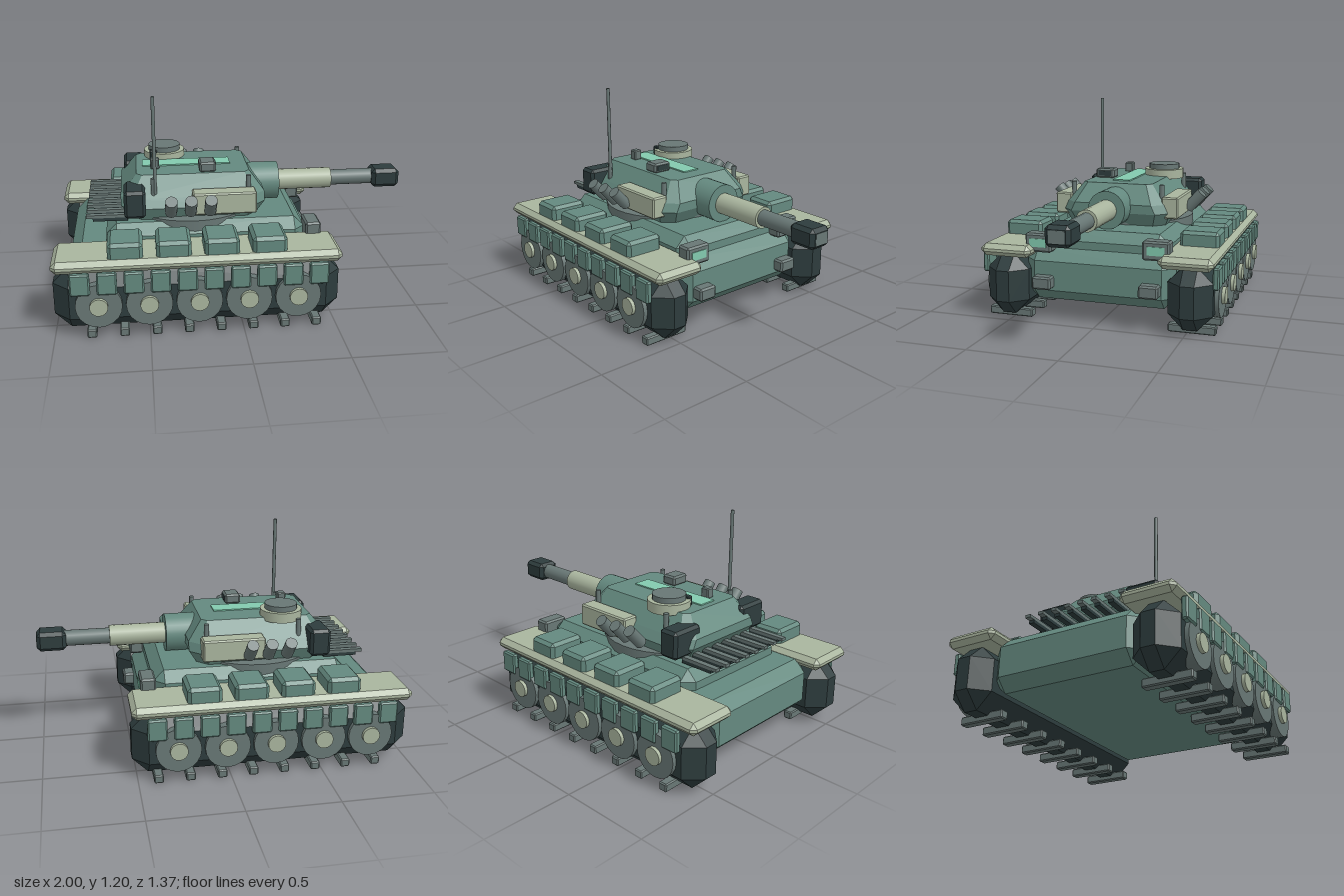
import * as THREE from 'three';
import { ConvexGeometry } from 'three/addons/geometries/ConvexGeometry.js';

const colour = (name, hex) => {
  const m = new THREE.MeshStandardMaterial({ color: hex });
  m.name = name;
  return m;
};

export function createModel() {
  const tank = new THREE.Group();
  tank.name = 'tank';
  const green = colour('hull green', 0x64897f);
  const khaki = colour('pale khaki', 0xa9b59e);
  const grey = colour('steel grey', 0x687775);
  const dark = colour('track black', 0x2d3c3d);
  const mint = colour('mint glass', 0x82c9ae);

  const add = (name, geometry, material) => {
    const mesh = new THREE.Mesh(geometry, material);
    mesh.name = name;
    tank.add(mesh);
    return mesh;
  };

  // Box with every edge cut at 45 degrees, given by its extents
  const block = (name, material, [x0, x1], [y0, y1], [z0, z1], bevel = 0) => {
    const h = [(x1 - x0) / 2, (y1 - y0) / 2, (z1 - z0) / 2];
    let geometry;
    if (bevel === 0) geometry = new THREE.BoxGeometry(h[0] * 2, h[1] * 2, h[2] * 2);
    else {
      const points = [];
      for (const sx of [-1, 1]) for (const sy of [-1, 1]) for (const sz of [-1, 1])
        for (let full = 0; full < 3; full++) {
          const s = h.map((v, i) => (i === full ? v : v - bevel));
          points.push(new THREE.Vector3(sx * s[0], sy * s[1], sz * s[2]));
        }
      geometry = new ConvexGeometry(points);
    }
    const mesh = add(name, geometry, material);
    mesh.position.set((x0 + x1) / 2, (y0 + y1) / 2, (z0 + z1) / 2);
    return mesh;
  };

  // The same block on both sides of the tank
  const pair = (name, material, xs, ys, [z0, z1], bevel) => {
    block(name + 'Left', material, xs, ys, [z0, z1], bevel);
    block(name + 'Right', material, xs, ys, [-z1, -z0], bevel);
  };

  // Cylinder between two points
  const rod = (name, material, from, to, radius, sides = 20) => {
    const a = new THREE.Vector3(...from), b = new THREE.Vector3(...to);
    const dir = b.clone().sub(a);
    const mesh = add(name, new THREE.CylinderGeometry(radius, radius, dir.length(), sides), material);
    mesh.position.copy(a).add(b).multiplyScalar(0.5);
    mesh.quaternion.setFromUnitVectors(new THREE.Vector3(0, 1, 0), dir.normalize());
    return mesh;
  };

  // Hull
  block('lowerHull', green, [-0.917, 0.44], [0.11, 0.405], [-0.43, 0.43], 0.065);
  block('upperHull', green, [-0.72, 0.375], [0.33, 0.507], [-0.38, 0.38], 0.058);
  rod('turretRing', grey, [-0.235, 0.44, 0], [-0.235, 0.52, 0], 0.37, 32);

  // Running gear and fenders
  pair('track', dark, [-1, 0.525], [0.025, 0.37], [0.4, 0.645], 0.085);
  pair('fender', khaki, [-1, 0.525], [0.365, 0.433], [0.36, 0.657], 0.026);
  for (let i = 0; i < 8; i++) {
    const x = -0.805 + i * 0.171;
    pair('trackPad', grey, [x - 0.025, x + 0.025], [0, 0.046], [0.395, 0.657], 0.006);
  }
  for (let i = 0; i < 10; i++) {
    const x = -0.855 + i * 0.139;
    pair('skirtPlate', green, [x - 0.052, x + 0.052], [0.255, 0.375], [0.64, 0.676], 0.008);
  }
  for (const s of [-1, 1]) for (let i = 0; i < 5; i++) {
    const x = -0.762 + i * 0.262;
    rod('roadWheel', grey, [x, 0.19, s * 0.6], [x, 0.19, s * 0.668], 0.122);
    rod('wheelHub', khaki, [x, 0.19, s * 0.64], [x, 0.19, s * 0.687], 0.048, 16);
  }

  // Stowage boxes on the fenders
  for (let i = 0; i < 4; i++) {
    const x = -0.617 + i * 0.252;
    pair('stowageBox', green, [x - 0.092, x + 0.092], [0.41, 0.515], [0.41, 0.63], 0.018);
  }

  // Headlights and tow mounts
  pair('headlight', grey, [0.37, 0.455], [0.39, 0.495], [0.26, 0.412], 0.01);
  pair('headlightLens', mint, [0.452, 0.459], [0.42, 0.467], [0.288, 0.385]);
  pair('towMount', grey, [0.42, 0.5], [0.19, 0.262], [0.25, 0.36], 0.01);

  // Engine grille
  for (let i = 0; i < 8; i++) {
    const z = -0.28 + i * 0.08;
    block('grilleBar', dark, [-0.79, -0.6], [0.512, 0.53], [z - 0.016, z + 0.016]);
    block('grilleSlat', grey, [-0.825, -0.6], [0.53, 0.547], [z - 0.016, z + 0.016]);
  }

  // Turret: hull of three cut-corner rings [y, back, front, half width, corner]
  const rings = [
    [0.505, -0.58, 0.12, 0.285, 0.06],
    [0.58, -0.635, 0.165, 0.32, 0.07],
    [0.63, -0.635, 0.165, 0.287, 0.06],
    [0.738, -0.545, 0.085, 0.205, 0.03],
  ];
  const corners = [];
  for (const [y, x0, x1, w, c] of rings) for (const s of [-1, 1])
    for (const [x, z] of [[x0, w - c], [x0 + c, w], [x1 - c, w], [x1, w - c]])
      corners.push(new THREE.Vector3(x, y, s * z));
  add('turret', new ConvexGeometry(corners), green);

  // Gun
  rod('mantlet', green, [0, 0.612, 0], [0.272, 0.612, 0], 0.108, 28);
  rod('gunSleeve', khaki, [0.2, 0.612, 0], [0.59, 0.612, 0], 0.06);
  rod('gunBarrel', grey, [0.5, 0.612, 0], [0.87, 0.612, 0], 0.045);
  block('muzzleBrake', dark, [0.835, 0.998], [0.557, 0.667], [-0.067, 0.067], 0.02);
  block('muzzleBore', grey, [0.992, 1], [0.58, 0.644], [-0.042, 0.042]);

  // Turret side armour, rear bins and smoke launchers
  pair('sideArmour', khaki, [-0.245, 0.105], [0.55, 0.672], [0.27, 0.367], 0.008);
  pair('rearBin', dark, [-0.617, -0.5], [0.543, 0.697], [0.17, 0.367], 0.016);
  for (const s of [-1, 1]) for (let i = 0; i < 3; i++) {
    const x = -0.365 + i * 0.106;
    rod('smokeLauncher', grey, [x, 0.575, s * 0.365], [x, 0.667, s * 0.45], 0.033, 14);
  }

  // Commander's hatch
  rod('hatchRing', khaki, [-0.377, 0.72, -0.16], [-0.377, 0.776, -0.16], 0.118, 24);
  rod('hatchLid', grey, [-0.377, 0.77, -0.16], [-0.377, 0.806, -0.16], 0.092, 24);

  // Roof fittings
  block('roofPanel', mint, [-0.51, -0.01], [0.737, 0.745], [-0.05, 0.055]);
  block('gunSight', grey, [-0.195, -0.103], [0.735, 0.792], [0.08, 0.192], 0.01);
  block('sightGlass', dark, [-0.106, -0.1], [0.75, 0.78], [0.098, 0.175]);
  block('periscope', grey, [-0.465, -0.415], [0.735, 0.795], [0.057, 0.107], 0.006);
  block('hatchHandle', dark, [-0.465, -0.42], [0.735, 0.79], [-0.1, -0.07], 0.005);
  for (const x of [-0.455, 0.07]) for (const z of [-0.265, 0.265])
    rod('liftingStud', grey, [x, 0.63, z], [x, 0.738, z], 0.014, 10);
  rod('antenna', grey, [-0.445, 0.65, 0.27], [-0.445, 1.195, 0.27], 0.01, 10);

  return tank;
}
